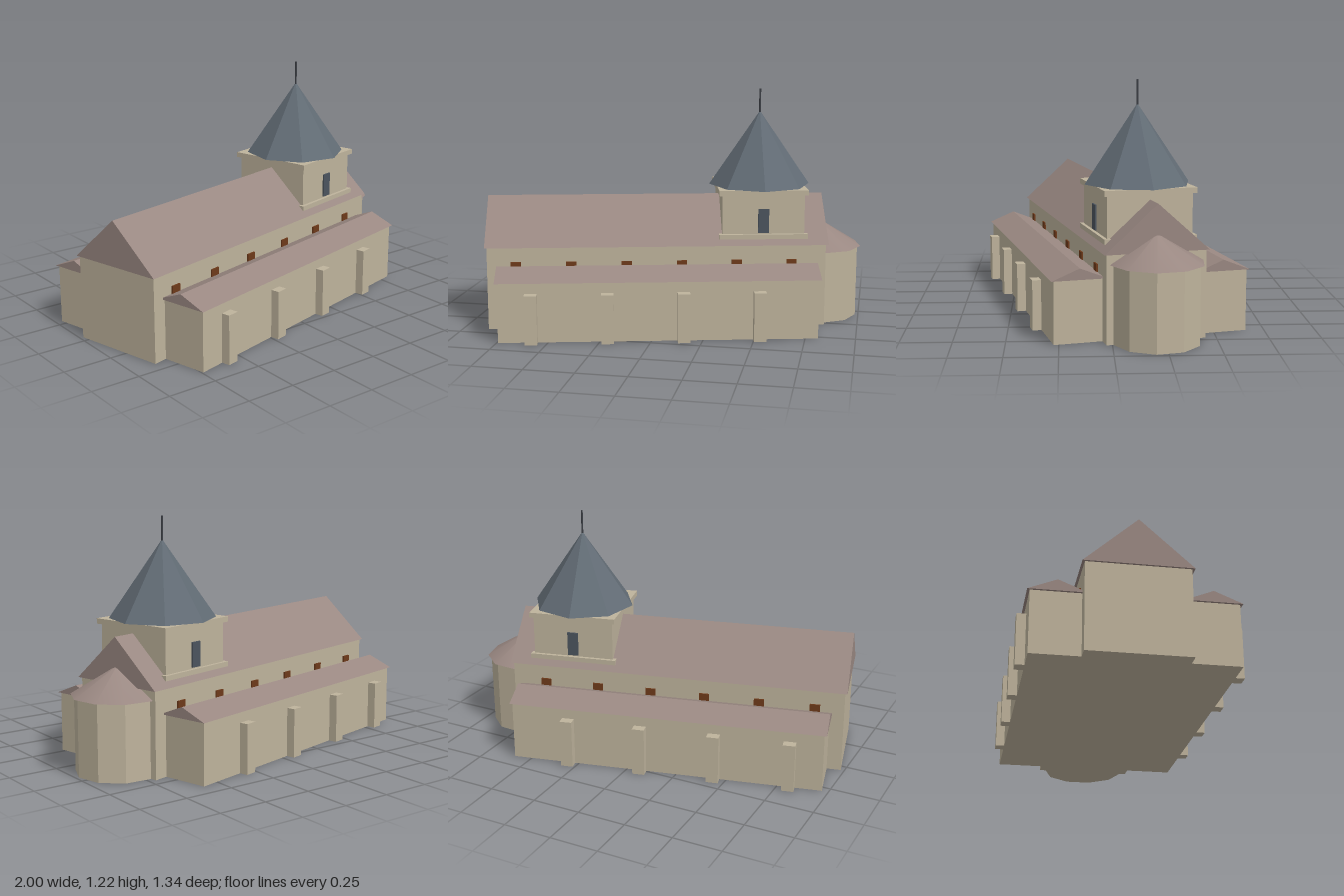
import * as THREE from 'three';

const mat = (name, color, extra = {}) => {
  const m = new THREE.MeshStandardMaterial({ color, ...extra });
  m.name = name;
  return m;
};

export function createModel() {
  const stone = mat('stone', 0xbeb39c);
  const facetedStone = stone.clone();
  facetedStone.flatShading = true;
  const tile = mat('roofTile', 0x9a8882);
  const slate = mat('slate', 0x626c75, { flatShading: true });
  const glass = mat('darkGlass', 0x4c545e);
  const wood = mat('brownShutter', 0x6e3a1a);
  const iron = mat('iron', 0x3c3f45);

  const church = new THREE.Group();
  church.name = 'church';
  church.rotation.y = 0.2356; // the long axis lies at an angle to x

  const add = (name, geometry, material, x = 0, y = 0, z = 0) => {
    const mesh = new THREE.Mesh(geometry, material);
    mesh.name = name;
    mesh.position.set(x, y, z);
    church.add(mesh);
    return mesh;
  };
  // box given by its extents
  const box = (name, material, x0, x1, y0, y1, z0, z1) =>
    add(name, new THREE.BoxGeometry(x1 - x0, y1 - y0, z1 - z0), material,
      (x0 + x1) / 2, (y0 + y1) / 2, (z0 + z1) / 2);
  // solid gable roof with its ridge along x
  const gable = (name, x0, x1, eave, ridge, zMid, half) => {
    const s = new THREE.Shape([
      new THREE.Vector2(-half, 0), new THREE.Vector2(half, 0), new THREE.Vector2(0, ridge - eave)]);
    const g = new THREE.ExtrudeGeometry(s, { depth: x1 - x0, bevelEnabled: false });
    g.rotateY(Math.PI / 2);
    return add(name, g, tile, x0, eave, zMid);
  };

  const mid = -0.024; // centre line of the building

  // nave
  box('naveWalls', stone, -0.945, 0.8, 0, 0.43, mid - 0.245, mid + 0.245);
  gable('naveRoof', -0.956, 0.814, 0.43, 0.66, mid, 0.257);

  // aisles, buttresses and clerestory shutters on both sides
  for (const side of [1, -1]) {
    const span = (name, m, x0, x1, y0, y1, near, far) => {
      const a = mid + side * near, b = mid + side * far;
      return box(name, m, x0, x1, y0, y1, Math.min(a, b), Math.max(a, b));
    };
    span('aisleWalls', stone, -0.873, 0.728, 0, 0.305, 0.232, 0.48);
    gable('aisleRoof', -0.885, 0.74, 0.305, 0.36, mid + side * 0.356, 0.136);
    for (let i = 0; i < 4; i++) {
      const x = -0.707 + i * 0.379;
      span('buttress', stone, x - 0.031, x + 0.031, 0, 0.25, 0.46, 0.524);
    }
    for (let i = 0; i < 6; i++) {
      const x = -0.798 + i * 0.284;
      span('clerestoryShutter', wood, x - 0.026, x + 0.026, 0.285, 0.355, 0.244, 0.253);
    }
  }

  // apse with a conical roof
  add('apseWall', new THREE.CylinderGeometry(0.212, 0.212, 0.38, 10), facetedStone, 0.8, 0.19, mid);
  add('apseRoof', new THREE.ConeGeometry(0.229, 0.14, 10), tile, 0.8, 0.45, mid);

  // crossing tower
  const tx = 0.478;
  const square = (name, half, y0, y1) =>
    box(name, stone, tx - half, tx + half, y0, y1, mid - half, mid + half);
  square('towerLedge', 0.23, 0.458, 0.483);
  square('towerBody', 0.213, 0.44, 0.69);
  square('towerCornice', 0.23, 0.685, 0.712);
  for (const side of [1, -1]) {
    const z = mid + side * 0.217;
    box('towerWindow', glass, tx - 0.028, tx + 0.028, 0.49, 0.615, z - 0.0045, z + 0.0045);
  }

  // octagonal spire and finial
  add('spire', new THREE.ConeGeometry(0.266, 0.388, 8), slate, tx, 0.906, mid);
  add('finial', new THREE.CylinderGeometry(0.005, 0.005, 0.135, 8), iron, tx, 1.1475, mid);

  const model = new THREE.Group();
  model.name = 'model';
  model.add(church);
  return model;
}
